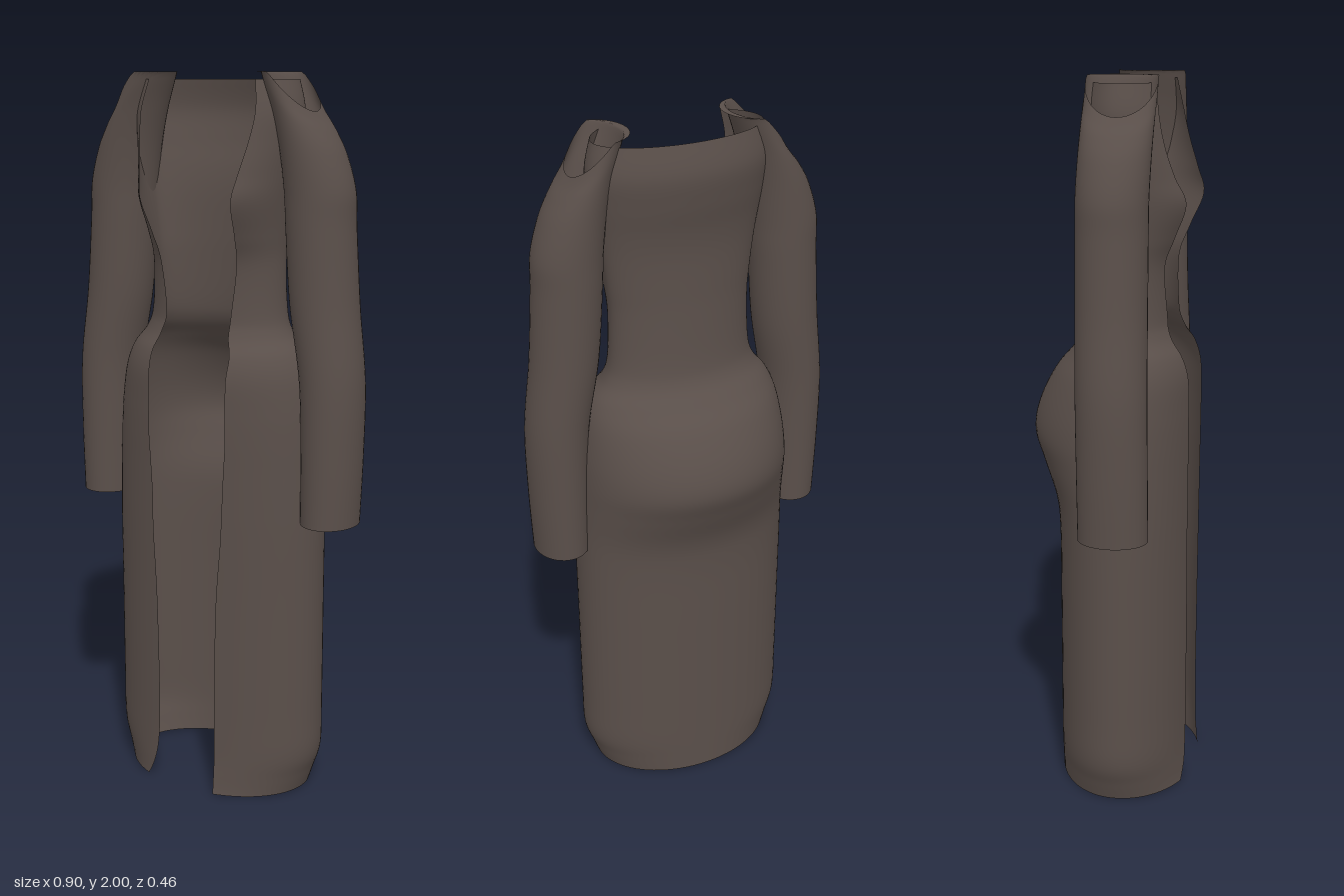
import * as THREE from 'three';
import { mergeVertices } from 'three/addons/utils/BufferGeometryUtils.js';

// Smooth interpolation through rows of numbers, u from 0 to 1
function sampleRows(rows, u) {
  const s = u * (rows.length - 1);
  const i = Math.min(Math.floor(s), rows.length - 2);
  const t = s - i;
  const p0 = rows[Math.max(i - 1, 0)], p1 = rows[i], p2 = rows[i + 1], p3 = rows[Math.min(i + 2, rows.length - 1)];
  return p1.map((b, k) => {
    const a = p0[k], c = p2[k], d = p3[k];
    return b + 0.5 * t * (c - a + t * (2 * a - 5 * b + 4 * c - d + t * (3 * (b - c) + d - a)));
  });
}

// Cloth surface from stacked cross-sections; point(row, t) returns [x, y, z]
function loft(rows, cols, steps, point) {
  const pos = [], idx = [];
  for (let i = 0; i <= steps; i++) {
    const row = sampleRows(rows, i / steps);
    for (let j = 0; j <= cols; j++) pos.push(...point(row, j / cols));
  }
  const w = cols + 1;
  for (let i = 0; i < steps; i++) {
    for (let j = 0; j < cols; j++) {
      const a = i * w + j, b = a + 1, c = a + w, d = c + 1;
      idx.push(a, c, b, b, c, d);
    }
  }
  let geo = new THREE.BufferGeometry();
  geo.setAttribute('position', new THREE.Float32BufferAttribute(pos, 3));
  geo.setIndex(idx);
  geo = mergeVertices(geo, 1e-5);
  geo.computeVertexNormals();
  return geo;
}

// Body: height, half width, back z, z at the front edge, right and left edge x
const BODY = [
  [0.00, 0.280, -0.155, 0.215, 0.14, 0.09],
  [0.05, 0.297, -0.155, 0.220, 0.115, 0.09],
  [0.12, 0.318, -0.155, 0.220, 0.10, 0.09],
  [0.25, 0.320, -0.155, 0.220, 0.095, 0.09],
  [0.55, 0.320, -0.155, 0.220, 0.10, 0.095],
  [0.75, 0.320, -0.156, 0.220, 0.11, 0.11],
  [0.85, 0.318, -0.167, 0.220, 0.11, 0.115],
  [0.95, 0.314, -0.203, 0.220, 0.115, 0.12],
  [1.03, 0.310, -0.229, 0.220, 0.12, 0.125],
  [1.11, 0.303, -0.215, 0.220, 0.12, 0.125],
  [1.20, 0.287, -0.170, 0.217, 0.12, 0.125],
  [1.26, 0.262, -0.120, 0.198, 0.12, 0.125],
  [1.31, 0.223, -0.083, 0.168, 0.11, 0.105],
  [1.37, 0.205, -0.068, 0.155, 0.10, 0.105],
  [1.50, 0.200, -0.058, 0.152, 0.12, 0.12],
  [1.58, 0.206, -0.055, 0.180, 0.13, 0.13],
  [1.67, 0.217, -0.055, 0.212, 0.145, 0.14],
  [1.74, 0.228, -0.062, 0.185, 0.165, 0.15],
  [1.82, 0.242, -0.078, 0.160, 0.18, 0.165],
  [1.90, 0.252, -0.087, 0.145, 0.185, 0.175],
  [1.98, 0.236, -0.070, 0.135, 0.165, 0.165],
];

function bodyPoint([y, w, back, edgeZ, right, left], t) {
  const zc = 0.04;
  const a0 = -Math.PI + Math.asin(right / w);
  const a1 = Math.PI - Math.asin(left / w);
  const a = a0 + (a1 - a0) * t;
  const edge = Math.max(right, left) / w;
  const front = (edgeZ - zc) / Math.sqrt(1 - edge * edge);
  const depth = Math.cos(a) > 0 ? zc - back : front;
  return [w * Math.sin(a), y, zc - depth * Math.cos(a)];
}

// Sleeve: height, inner x, outer x, tilt of the ring, centre z
const SLEEVE = [
  [0.81, 0.285, 0.440, 0.00, 0.060],
  [1.00, 0.282, 0.447, 0.00, 0.058],
  [1.20, 0.272, 0.447, 0.00, 0.055],
  [1.40, 0.238, 0.425, 0.00, 0.050],
  [1.60, 0.222, 0.410, 0.00, 0.048],
  [1.70, 0.216, 0.405, 0.00, 0.048],
  [1.80, 0.203, 0.377, 0.01, 0.050],
  [1.88, 0.180, 0.345, 0.035, 0.052],
  [1.94, 0.155, 0.315, 0.06, 0.054],
  [1.99, 0.135, 0.298, 0.09, 0.055],
];

function sleevePoint(side) {
  return ([y, x0, x1, tilt, zc], t) => {
    const a = t * Math.PI * 2 - side * Math.PI / 2;
    const s = Math.sin(a);
    return [
      side * (x0 + x1) / 2 + (x1 - x0) / 2 * s,
      Math.min(2, y - tilt * side * s),
      zc - 0.094 * Math.cos(a),
    ];
  };
}

export function createModel() {
  const coat = new THREE.Group();
  coat.name = 'openCoat';
  const cloth = new THREE.MeshStandardMaterial({ color: 0x5a4f4a, side: THREE.DoubleSide });
  cloth.name = 'darkBrownCloth';

  const add = (name, geometry) => {
    const mesh = new THREE.Mesh(geometry, cloth);
    mesh.name = name;
    coat.add(mesh);
  };

  // Long body, open down the front
  add('coatBody', loft(BODY, 72, 120, bodyPoint));

  // Open-ended sleeves leaning in to the shoulders
  for (const side of [1, -1]) {
    add(side > 0 ? 'leftSleeve' : 'rightSleeve', loft(SLEEVE, 40, 60, sleevePoint(side)));
  }
  return coat;
}
